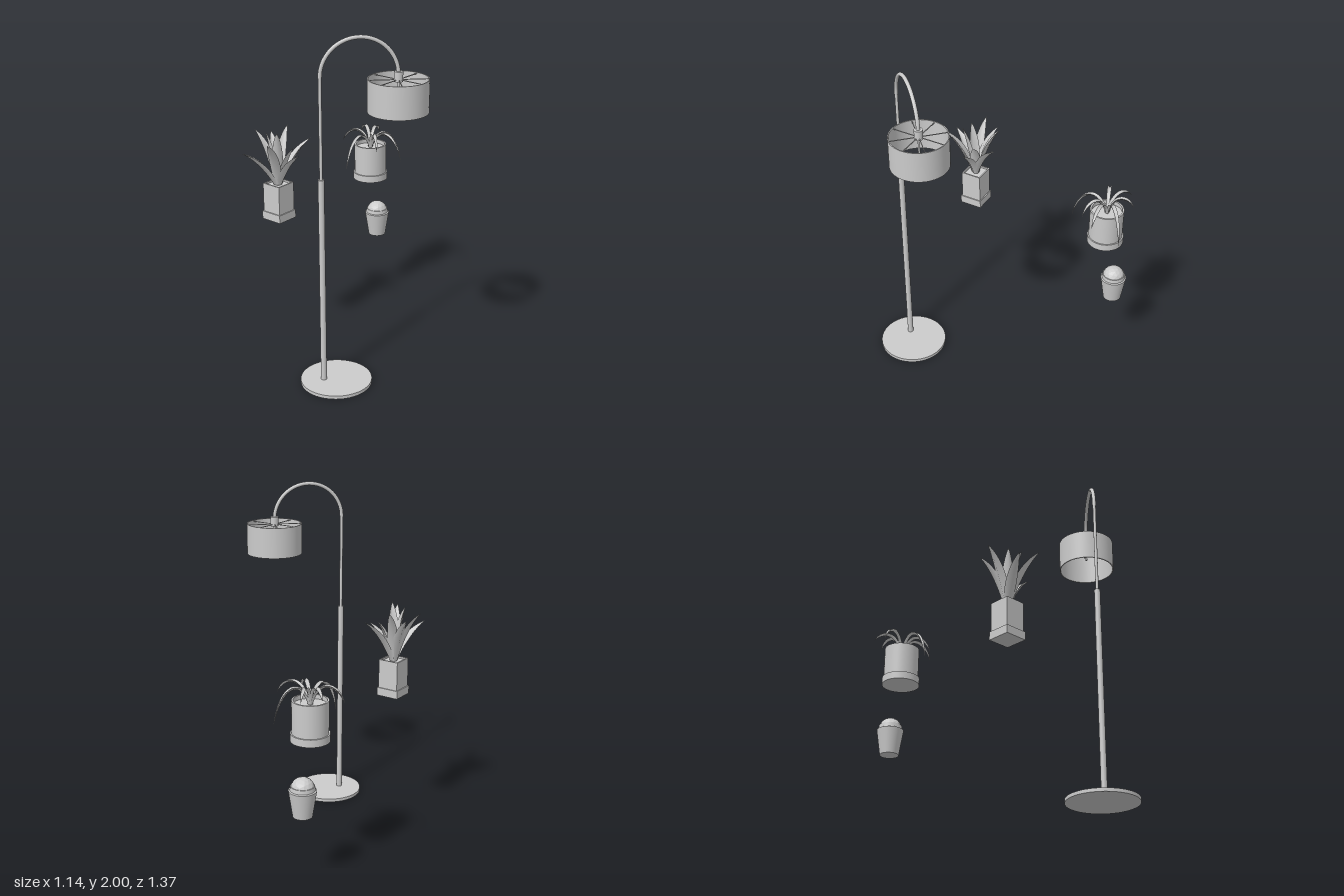
import * as THREE from 'three';

const grey = new THREE.MeshStandardMaterial({ color: 0xcccccc });
const thin = new THREE.MeshStandardMaterial({ color: 0xcccccc, side: THREE.DoubleSide });
const faceted = new THREE.MeshStandardMaterial({ color: 0xcccccc, flatShading: true });

function add(parent, name, geometry, x = 0, y = 0, z = 0, material = grey) {
  const mesh = new THREE.Mesh(geometry, material);
  mesh.name = name;
  mesh.position.set(x, y, z);
  parent.add(mesh);
  return mesh;
}

function group(parent, name, x, z) {
  const g = new THREE.Group();
  g.name = name;
  g.position.set(x, 0, z);
  parent.add(g);
  return g;
}

// Upright cylinder spanning y0 to y1
function rod(parent, name, r, y0, y1, x = 0, z = 0, sides = 32) {
  return add(parent, name, new THREE.CylinderGeometry(r, r, y1 - y0, sides), x, (y0 + y1) / 2, z);
}

// Hard-edged lathe: one smooth band per profile segment
function turned(parent, name, points) {
  const g = new THREE.Group();
  g.name = name;
  parent.add(g);
  for (let i = 0; i < points.length - 1; i++) {
    const pair = [points[i], points[i + 1]].map(p => new THREE.Vector2(...p));
    add(g, name + 'Band', new THREE.LatheGeometry(pair, 48), 0, 0, 0, thin);
  }
}

// Folded leaf blade swept along a curve lying in a vertical plane
function leaf(parent, name, curve, angle, width, fold, profile, steps = 16) {
  const side = new THREE.Vector3(-Math.sin(angle), 0, Math.cos(angle));
  const pos = [], index = [];
  for (let i = 0; i <= steps; i++) {
    const t = i / steps, p = curve.getPoint(t), w = width * profile(t) / 2;
    const normal = new THREE.Vector3().crossVectors(side, curve.getTangent(t));
    for (const s of [-1, 0, 1]) {
      const v = p.clone().addScaledVector(side, s * w);
      v.addScaledVector(normal, (Math.abs(s) - 0.5) * 2 * w * fold);
      pos.push(v.x, v.y, v.z);
    }
    if (i < steps) {
      for (const k of [0, 1]) {
        const a = i * 3 + k;
        index.push(a, a + 1, a + 3, a + 1, a + 4, a + 3);
      }
    }
  }
  const geometry = new THREE.BufferGeometry();
  geometry.setAttribute('position', new THREE.Float32BufferAttribute(pos, 3));
  geometry.setIndex(index);
  geometry.computeVertexNormals();
  add(parent, name, geometry, 0, 0, 0, thin);
}

// Cubic curve given as [radius, height] pairs along a heading
function radialCurve(angle, pairs) {
  return new THREE.CubicBezierCurve3(...pairs.map(([r, y]) =>
    new THREE.Vector3(Math.cos(angle) * r, y, Math.sin(angle) * r)));
}

function buildLamp(root) {
  const lamp = group(root, 'floorLamp', 0, 0);
  const pole = [0.135, 0.54], head = [0.406, 0.227];
  rod(lamp, 'base', 0.202, 0, 0.02, 0.182, 0.487, 64);
  rod(lamp, 'lowerPole', 0.017, 0.02, 1.225, ...pole);
  rod(lamp, 'upperPole', 0.009, 1.225, 1.79, ...pole);

  // Half-circle arm from the pole to the shade
  const dx = head[0] - pole[0], dz = head[1] - pole[1];
  const r = Math.hypot(dx, dz) / 2, points = [];
  for (let i = 0; i <= 16; i++) {
    const a = Math.PI * i / 16, f = (1 - Math.cos(a)) / 2;
    points.push(new THREE.Vector3(pole[0] + dx * f, 1.782 + r * Math.sin(a), pole[1] + dz * f));
  }
  add(lamp, 'archedArm', new THREE.TubeGeometry(new THREE.CatmullRomCurve3(points), 64, 0.011, 16));

  // Shade: hollow drum, hub and eight spokes
  const shade = group(lamp, 'shade', ...head);
  turned(shade, 'drum', [[0.164, 1.581], [0.164, 1.761], [0.158, 1.761], [0.158, 1.581], [0.164, 1.581]]);
  rod(shade, 'hub', 0.024, 1.745, 1.8);
  rod(shade, 'bulbStem', 0.006, 1.65, 1.75);
  for (let i = 0; i < 8; i++) {
    const a = i * Math.PI / 4;
    const spoke = add(shade, 'spoke', new THREE.BoxGeometry(0.14, 0.004, 0.004),
      Math.cos(a) * 0.09, 1.755, Math.sin(a) * 0.09);
    spoke.rotation.y = -a;
  }
}

function buildArchingPlant(root) {
  const plant = group(root, 'archingPlant', -0.394, -0.535);
  rod(plant, 'saucer', 0.108, 0.81, 0.853, 0, 0, 48);
  turned(plant, 'roundPot', [[0.1, 0.853], [0.1, 1.037], [0.09, 1.037], [0.09, 1.0]]);
  rod(plant, 'soil', 0.091, 0.99, 1.012, 0, 0, 48);
  // Tip offset x, z and tip height
  const tips = [[0.136, -0.143, 0.9], [0.217, 0, 1.035], [0.132, 0.1, 1.03], [-0.01, 0.228, 0.907],
    [-0.176, 0.062, 1.035], [-0.14, -0.09, 1.08], [-0.044, -0.147, 1.07]];
  for (const [x, z, y] of tips) {
    const a = Math.atan2(z, x), r = Math.hypot(x, z);
    const curve = radialCurve(a, [[0.004, 1.0], [0.2 * r, 1.165], [0.8 * r, 1.14], [r, y]]);
    leaf(plant, 'archingLeaf', curve, a, 0.025, 0.6, t => (0.75 + 0.25 * Math.sin(Math.PI * t)) * (1 - t ** 6));
  }
}

function buildBroadPlant(root) {
  const plant = group(root, 'broadLeafPlant', -0.374, 0.337);
  add(plant, 'squareSaucer', new THREE.BoxGeometry(0.136, 0.048, 0.136), 0, 0.836, 0);
  add(plant, 'squarePot', new THREE.BoxGeometry(0.124, 0.16, 0.124), 0, 0.94, 0);
  // Rim frame around the sunken soil
  for (let i = 0; i < 4; i++) {
    const a = i * Math.PI / 2;
    const wall = add(plant, 'potRim', new THREE.BoxGeometry(0.124, 0.012, 0.008),
      Math.sin(a) * 0.058, 1.025, Math.cos(a) * 0.058);
    wall.rotation.y = a;
  }
  // Tip offset x, z and tip height, outer leaves first
  const tips = [[0.095, -0.18, 1.278], [0.165, -0.007, 1.226], [0.083, 0.169, 1.315], [-0.095, 0.19, 1.236],
    [-0.163, 0.015, 1.326], [-0.13, -0.085, 1.3], [-0.049, -0.14, 1.337],
    [0.055, 0.06, 1.353], [-0.04, 0.05, 1.34], [0.09, -0.04, 1.25]];
  for (const [x, z, y] of tips) {
    const a = Math.atan2(z, x), r = Math.hypot(x, z), h = y - 1.01;
    const curve = radialCurve(a, [[0.012, 1.01], [0.22 * r, 1.01 + 0.38 * h], [0.52 * r, 1.01 + 0.78 * h], [r, y]]);
    leaf(plant, 'broadLeaf', curve, a, 0.062, 0.4, t => Math.sin(Math.PI * (0.16 + 0.84 * t)) ** 0.85);
  }
}

function buildCactus(root) {
  const plant = group(root, 'cactusPlant', -0.396, -0.608);
  turned(plant, 'taperedPot', [[0, 0.398], [0.054, 0.398], [0.077, 0.548], [0.069, 0.552], [0.066, 0.575], [0, 0.575]]);
  add(plant, 'cactusBall', new THREE.IcosahedronGeometry(0.066, 2), 0, 0.557, 0, faceted);
}

export function createModel() {
  const root = new THREE.Group();
  root.name = 'lampAndPlants';
  buildLamp(root);
  buildArchingPlant(root);
  buildBroadPlant(root);
  buildCactus(root);
  return root;
}
